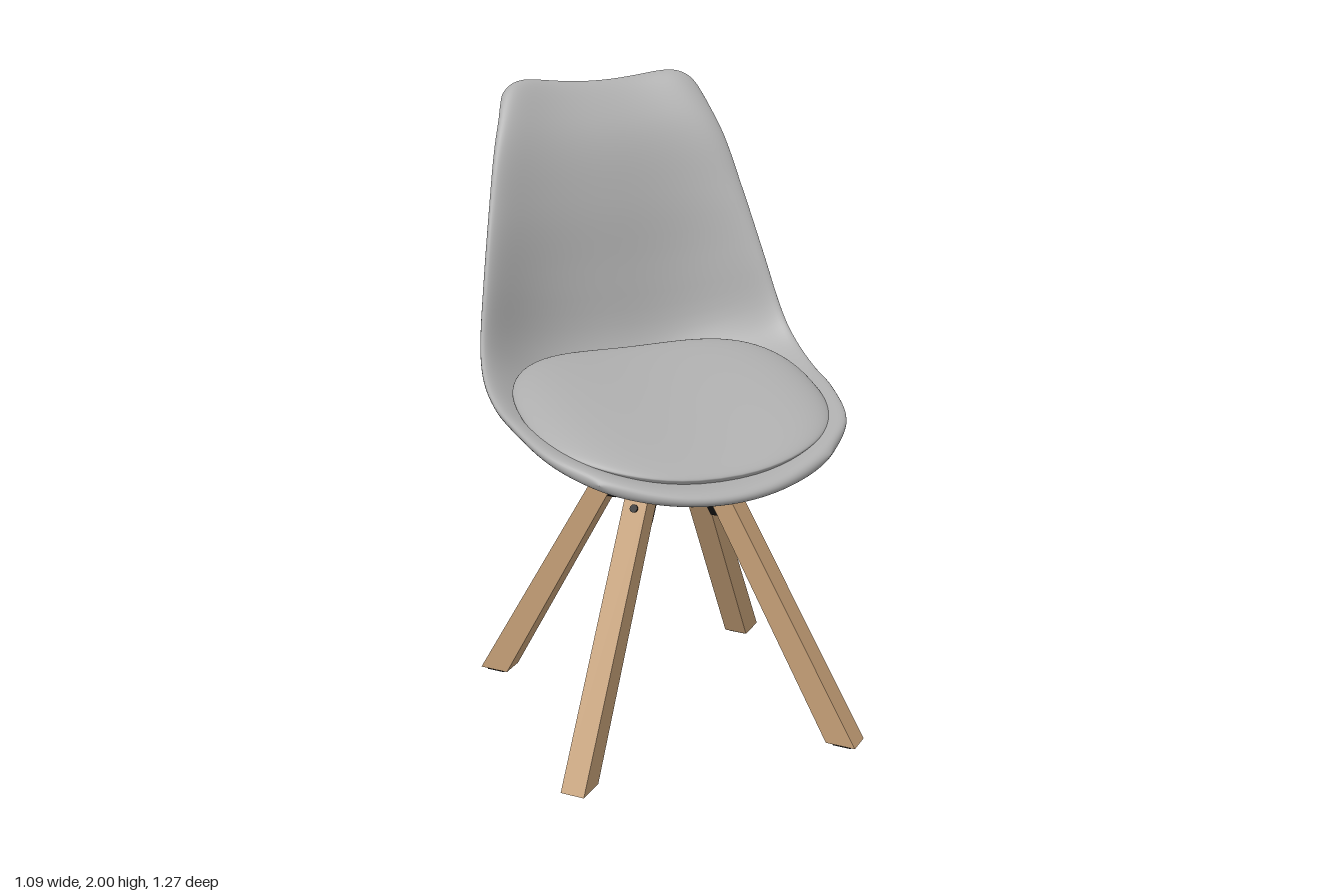
import * as THREE from 'three';
import { mergeVertices } from 'three/addons/utils/BufferGeometryUtils.js';

const mat = (name, color) => {
  const m = new THREE.MeshStandardMaterial({ color });
  m.name = name;
  return m;
};
const V = (x, y, z) => new THREE.Vector3(x, y, z);
const { clamp, lerp, smoothstep } = THREE.MathUtils;
const HUB_Z = 0.08;

// Shell guides from front lip to top of back: centre line and side rim, matched point by point
const centreLine = new THREE.CatmullRomCurve3([
  [0.955, 0.635], [0.945, 0.45], [0.935, 0.2], [0.922, 0], [0.918, -0.17], [0.985, -0.325],
  [1.12, -0.415], [1.35, -0.45], [1.6, -0.475], [1.8, -0.525], [1.972, -0.628],
].map(([y, z]) => V(0, y, z)));
const rimLine = new THREE.CatmullRomCurve3([
  [0.375, 1.01, 0.525], [0.49, 1.06, 0.38], [0.537, 1.093, 0.16], [0.545, 1.108, 0], [0.541, 1.145, -0.12],
  [0.53, 1.195, -0.19], [0.515, 1.265, -0.237], [0.483, 1.42, -0.3], [0.437, 1.63, -0.385],
  [0.39, 1.82, -0.47], [0.333, 1.955, -0.58],
].map((p) => V(...p)));

// Middle surface of the shell: t runs along it, s (-1..1) across it
function middle(t, s) {
  const c = centreLine.getPoint(t), e = rimLine.getPoint(t), a = Math.abs(s);
  const g = Math.pow(a, 2 + t);
  const top = smoothstep(t, 0.8, 1);
  // Two soft humps along the top edge
  const y = c.y + (e.y - c.y) * (top * a ** 8 + (1 - top) * g) + top * 0.055 * a * a * (1 - a ** 6);
  return V(e.x * s, y, c.z + (e.z - c.z) * g);
}

// Offset by the thickness, which rounds off to nothing at the rim
function shellPoint(t, s, side) {
  const d = 0.004;
  const ds = middle(t, Math.min(1, s + d)).sub(middle(t, Math.max(-1, s - d)));
  const dt = middle(Math.min(1, t + d), s).sub(middle(Math.max(0, t - d), s));
  const n = ds.cross(dt).normalize();
  const round = Math.sqrt(Math.max(0, (1 - s ** 10) * (1 - (2 * t - 1) ** 30)));
  return middle(t, s).addScaledVector(n, side * 0.031 * round);
}

function finish(pos, idx) {
  let g = new THREE.BufferGeometry();
  g.setAttribute('position', new THREE.Float32BufferAttribute(pos, 3));
  g.setIndex(idx);
  g = mergeVertices(g, 1e-5);
  g.computeVertexNormals();
  return g;
}

function shellGeometry() {
  const rows = 72, cols = 44, pos = [], idx = [];
  for (const side of [1, -1]) {
    const base = pos.length / 3;
    for (let i = 0; i <= rows; i++) {
      const t = clamp((1 + Math.sin((i / rows - 0.5) * Math.PI)) / 2, 0, 1);
      for (let j = 0; j <= cols; j++) {
        const s = Math.sin((j / cols - 0.5) * Math.PI);
        pos.push(...shellPoint(t, s, side).toArray());
        if (i === rows || j === cols) continue;
        const a = base + i * (cols + 1) + j, b = a + 1, d = a + cols + 1, c = d + 1;
        if (side > 0) idx.push(a, b, c, a, c, d);
        else idx.push(a, c, b, a, d, c);
      }
    }
  }
  return finish(pos, idx);
}

// Seat pad: rounded outline in rings, gently dished, with a skirt tucked into the shell
function padGeometry() {
  const rings = 24, seg = 72, pos = [], idx = [];
  const pw = (v) => Math.sign(v) * Math.pow(Math.abs(v), 0.8);
  for (let i = 0; i <= rings + 1; i++) {
    const skirt = i > rings;
    const r = skirt ? 0.92 : Math.sin((i / rings) * Math.PI / 2);
    for (let j = 0; j < seg; j++) {
      const a = (j / seg) * Math.PI * 2;
      const x = 0.49 * pw(Math.cos(a)) * r, z = 0.1175 + 0.4375 * pw(Math.sin(a)) * r;
      const q = Math.max(0, (z + 0.32) / 0.875);
      let y = 1.155 - 0.135 * Math.pow(q, 2.2) + 0.27 * x * x - 1.2 * x ** 4;
      y -= skirt ? 0.09 : 0.028 * (1 - Math.sqrt(Math.max(0, 1 - r ** 8)));
      pos.push(x, y, z);
      if (skirt) continue;
      const k = (j + 1) % seg, p = i * seg;
      if (i > 0) idx.push(p + j, p + k, p + seg + j);
      idx.push(p + k, p + seg + k, p + seg + j);
    }
  }
  return finish(pos, idx);
}

// Leg leaning outwards along x, a little slimmer at the top
function legGeometry() {
  const g = new THREE.BoxGeometry(2, 0.875, 2).translate(0, 0.4475, 0);
  const p = g.attributes.position;
  for (let i = 0; i < p.count; i++) {
    const f = (p.getY(i) - 0.01) / 0.875;
    p.setX(i, lerp(0.637, 0.154, f) + p.getX(i) * lerp(0.05, 0.038, f));
    p.setZ(i, p.getZ(i) * 0.04);
  }
  g.computeVertexNormals();
  return g;
}

export function createModel() {
  const model = new THREE.Group();
  const grey = mat('grey upholstery', 0xaeaeae);
  const wood = mat('light wood', 0xc39e76);
  const black = mat('black metal', 0x0c0c0c);
  const add = (parent, name, geo, material) => {
    const m = new THREE.Mesh(geo, material);
    m.name = name;
    parent.add(m);
    return m;
  };

  add(model, 'seatShell', shellGeometry(), grey);
  add(model, 'seatPad', padGeometry(), grey);

  // Raised seams in the same fabric on the outside of the shell
  const seam = (name, radius, at) => {
    const pts = Array.from({ length: 25 }, (_, i) => shellPoint(...at(i / 24), -1));
    add(model, name, new THREE.TubeGeometry(new THREE.CatmullRomCurve3(pts), 64, radius, 6), grey);
  };
  seam('backSeam', 0.005, (u) => [0.42 + u * 0.49, 0]);
  seam('topSeam', 0.004, (u) => [0.91, -0.97 + u * 1.94]);
  seam('underSeam', 0.003, (u) => [0.42, -0.9 + u * 1.8]);

  // Mounting plate under the seat
  const plate = add(model, 'mountingPlate', new THREE.CylinderGeometry(0.185, 0.18, 0.025, 32), black);
  plate.position.set(0, 0.898, HUB_Z);

  // Bracket wedge held against the inner face of each leg
  const wedge = new THREE.Shape([[0.075, 0.893], [0.17, 0.73], [0.21, 0.73], [0.135, 0.893]]
    .map(([x, y]) => new THREE.Vector2(x, y)));
  const wedgeGeo = new THREE.ExtrudeGeometry(wedge, { depth: 0.06, bevelEnabled: false }).translate(0, 0, -0.03);
  const legGeo = legGeometry();
  const screwGeo = new THREE.CylinderGeometry(0.013, 0.013, 0.012, 16);
  const footGeo = new THREE.BoxGeometry(0.064, 0.012, 0.056);

  ['frontLeft', 'backLeft', 'backRight', 'frontRight'].forEach((name, k) => {
    const leg = new THREE.Group();
    leg.name = name + 'Leg';
    leg.position.z = HUB_Z;
    leg.rotation.y = -Math.PI / 4 + k * Math.PI / 2;
    add(leg, 'legPost', legGeo, wood);
    add(leg, 'legBracket', wedgeGeo, black);
    add(leg, 'footPad', footGeo, black).position.set(0.637, 0.006, 0);
    for (const y of [0.865, 0.8]) {
      const screw = add(leg, 'screw', screwGeo, black);
      screw.position.set(0.687 - 0.495 * (y - 0.01) / 0.875, y, 0);
      screw.rotation.z = -Math.atan2(1, 0.566);
    }
    model.add(leg);
  });
  return model;
}
